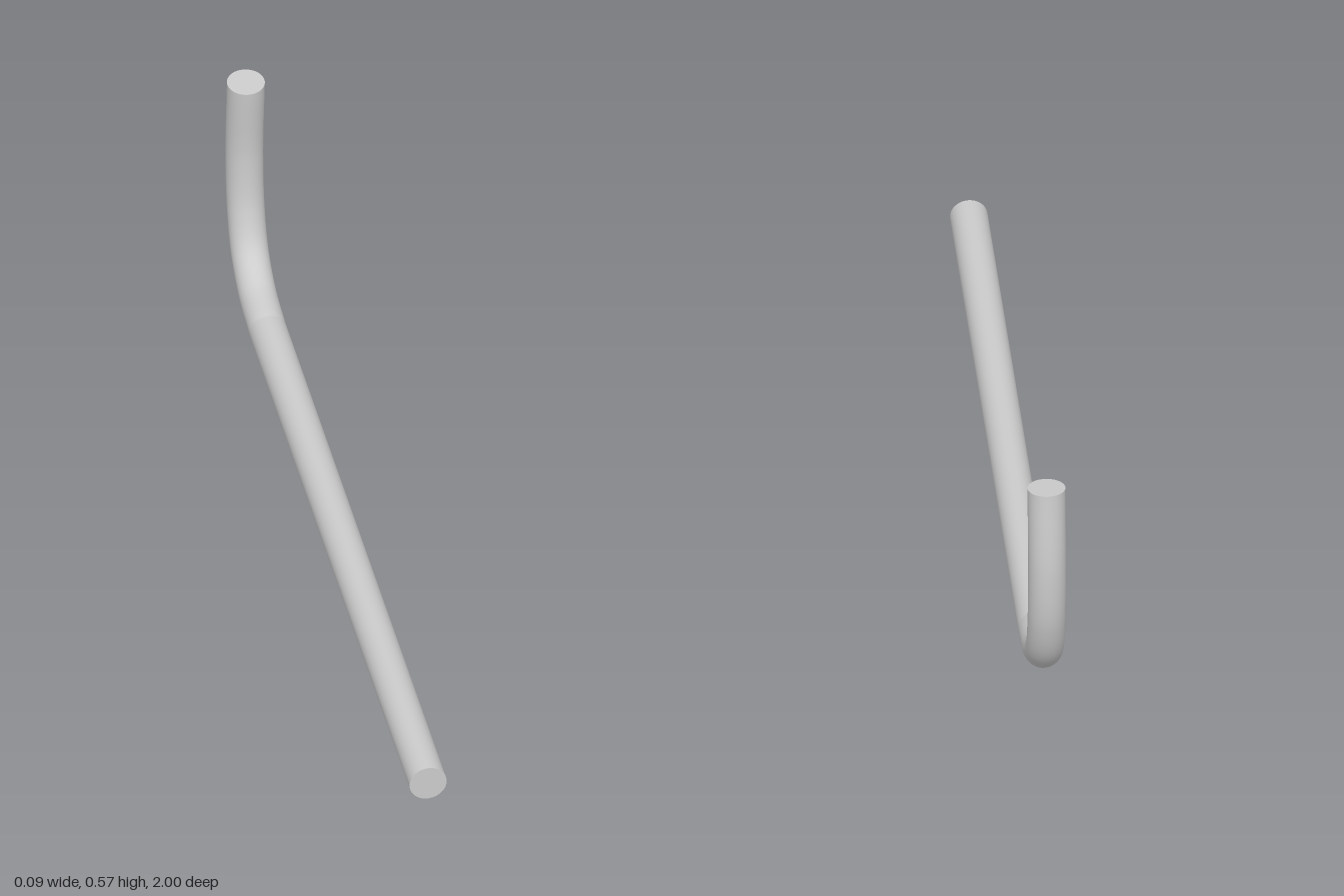
import * as THREE from 'three';

const RADIUS = 0.0425;
const SIDES = 48;

export function createModel() {
  const group = new THREE.Group();
  group.name = 'bentRod';
  const material = new THREE.MeshStandardMaterial({ color: 0xcccccc });
  const point = (z, y) => new THREE.Vector3(0, y, z);

  // Centre line: a long straight shank, then an upward bend leaning slightly forward
  const bendStart = point(-0.71, 0.043);
  const shank = new THREE.LineCurve3(point(1, 0.043), bendStart);
  const bend = new THREE.CatmullRomCurve3([
    bendStart, point(-0.82, 0.065), point(-0.9, 0.122),
    point(-0.942, 0.215), point(-0.957, 0.36), point(-0.94, 0.567),
  ]);

  function addTube(name, curve, segments) {
    const mesh = new THREE.Mesh(new THREE.TubeGeometry(curve, segments, RADIUS, SIDES), material);
    mesh.name = name;
    group.add(mesh);
  }

  // Flat disc closing an end of the rod
  function addCap(name, position, direction) {
    const cap = new THREE.Mesh(new THREE.CircleGeometry(RADIUS, SIDES), material);
    cap.name = name;
    cap.position.copy(position);
    cap.quaternion.setFromUnitVectors(new THREE.Vector3(0, 0, 1), direction);
    group.add(cap);
  }

  const path = new THREE.CurvePath();
  path.add(shank);
  path.add(bend);
  addTube('rod', path, 200);
  addCap('frontEnd', shank.v1, new THREE.Vector3(0, 0, 1));
  addCap('topEnd', bend.getPoint(1), bend.getTangent(1));

  return group;
}
